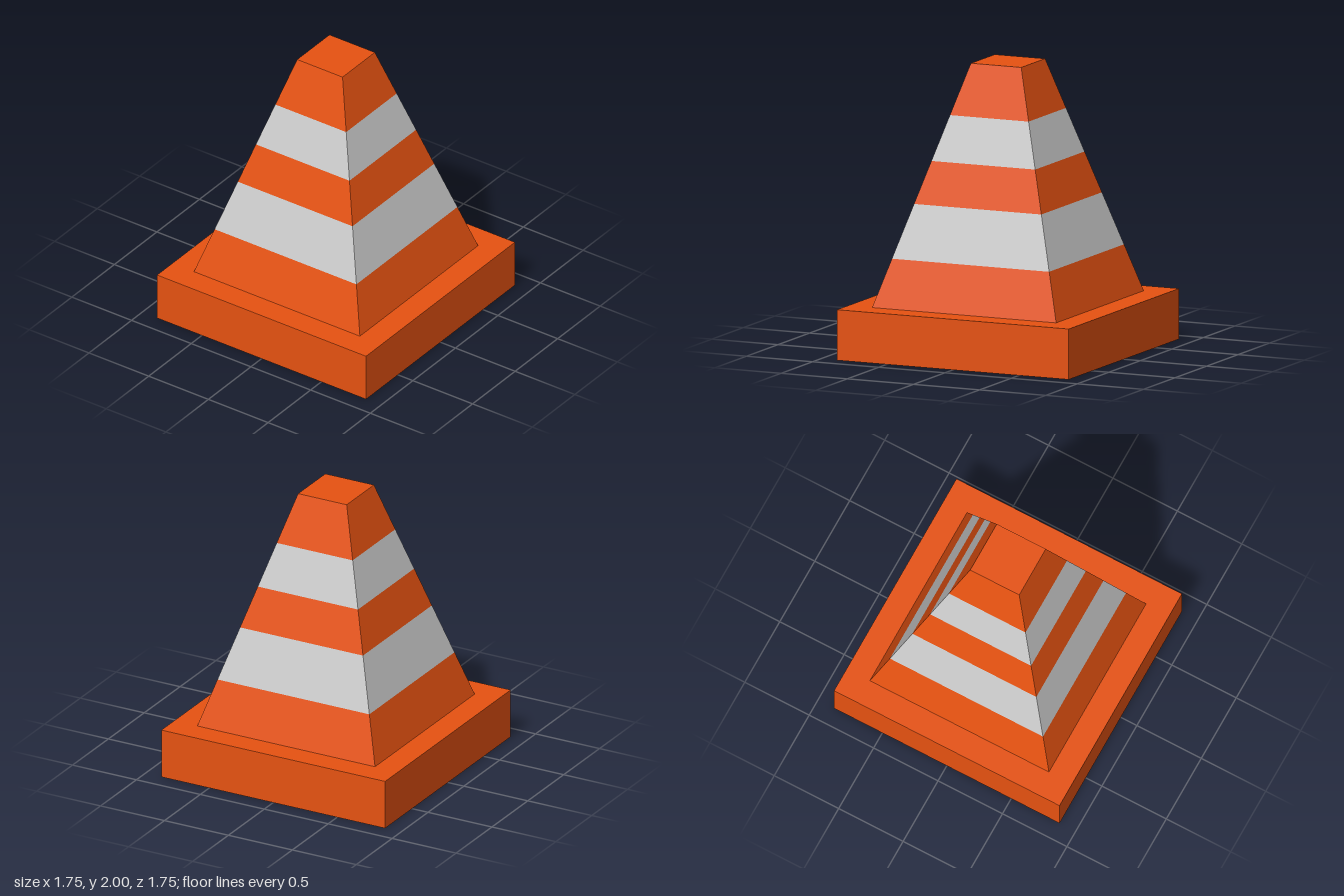
import * as THREE from 'three';

export function createModel() {
  const group = new THREE.Group();
  const orange = new THREE.MeshStandardMaterial({ color: 0xe65211, flatShading: true });
  const grey = new THREE.MeshStandardMaterial({ color: 0xcccccc, flatShading: true });

  const add = (name, geometry, material, y) => {
    const mesh = new THREE.Mesh(geometry, material);
    mesh.name = name;
    mesh.position.y = y;
    group.add(mesh);
    return mesh;
  };

  // Square foot
  const baseTop = 0.35, top = 2;
  add('base', new THREE.BoxGeometry(1.75, baseTop, 1.75), orange, baseTop / 2);

  // Half width of the tapering body at height y
  const bottomHalf = 0.695, topHalf = 0.19;
  const halfWidth = (y) =>
    THREE.MathUtils.mapLinear(y, baseTop, top, bottomHalf, topHalf);

  // Four-sided body, stacked from alternating coloured bands
  const levels = [baseTop, 0.68, 1.05, 1.34, 1.65, top];
  const names = ['lowerBody', 'lowerStripe', 'middleBody', 'upperStripe', 'upperBody'];
  names.forEach((name, i) => {
    const y0 = levels[i], y1 = levels[i + 1];
    const band = new THREE.CylinderGeometry(
      halfWidth(y1) * Math.SQRT2, halfWidth(y0) * Math.SQRT2,
      y1 - y0, 4, 1, true, Math.PI / 4);
    add(name, band, i % 2 ? grey : orange, (y0 + y1) / 2);
  });

  // Flat top closing the body
  const cap = new THREE.PlaneGeometry(topHalf * 2, topHalf * 2).rotateX(-Math.PI / 2);
  add('topCap', cap, orange, top);

  return group;
}
